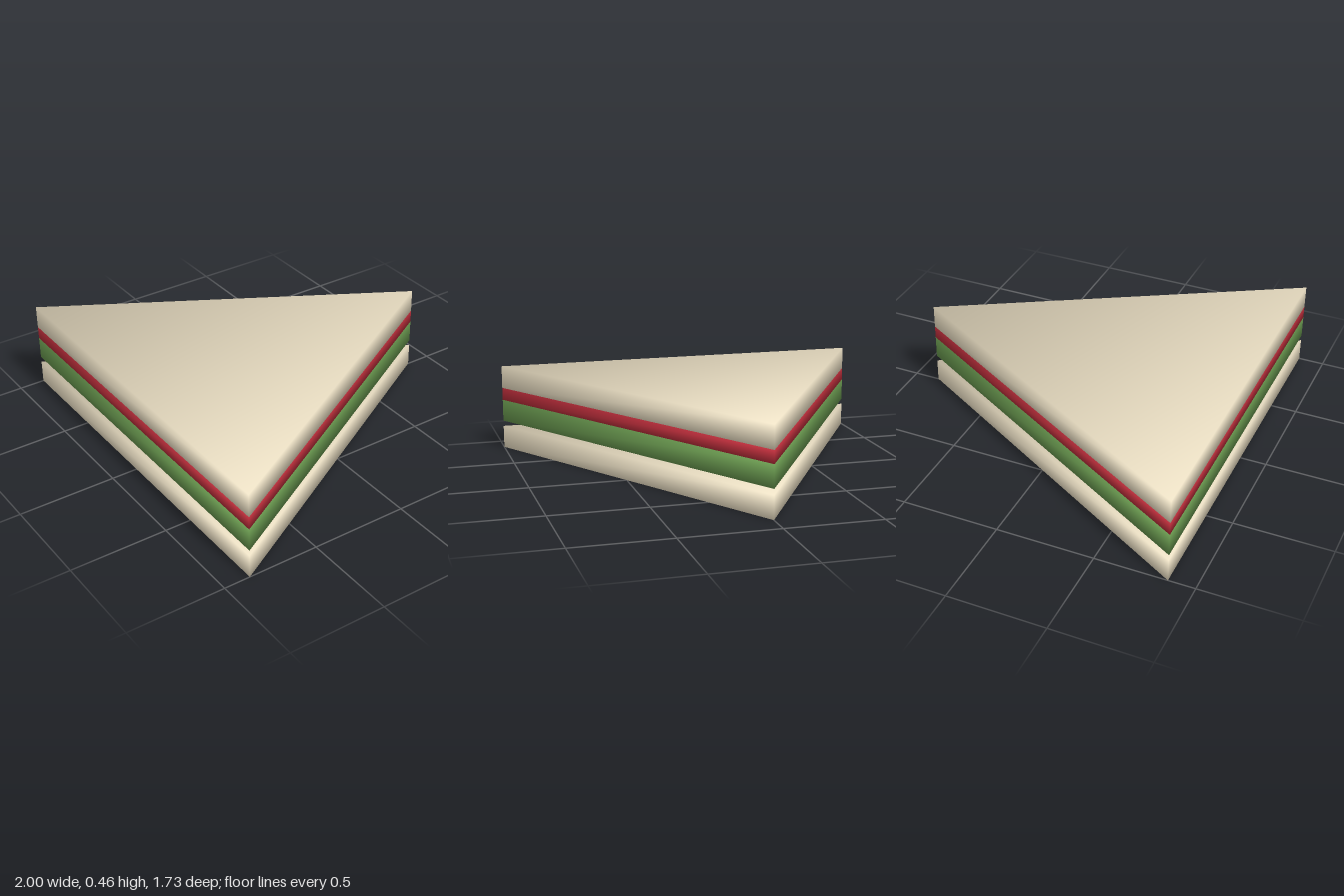
import * as THREE from 'three';

const HALF_DEPTH = 0.866;
const CORNERS = [[-1, HALF_DEPTH], [1, HALF_DEPTH], [0, -HALF_DEPTH]];
const CENTRE_Z = HALF_DEPTH / 3;

// Triangular slab whose shading runs smoothly over its edges
function slabGeometry(bottom, top) {
  const positions = [], normals = [];
  for (const [y, up] of [[bottom, -1], [top, 1]]) {
    for (const [x, z] of CORNERS) {
      positions.push(x, y, z);
      const outward = new THREE.Vector3(x, 0, z - CENTRE_Z).normalize();
      normals.push(...outward.setY(up).normalize().toArray());
    }
  }
  const index = [0, 2, 1, 3, 4, 5]; // underside, upper side
  for (let i = 0; i < 3; i++) {
    const j = (i + 1) % 3;
    index.push(i, j, j + 3, i, j + 3, i + 3);
  }
  const geometry = new THREE.BufferGeometry();
  geometry.setAttribute('position', new THREE.Float32BufferAttribute(positions, 3));
  geometry.setAttribute('normal', new THREE.Float32BufferAttribute(normals, 3));
  geometry.setIndex(index);
  return geometry;
}

export function createModel() {
  const bread = new THREE.MeshStandardMaterial({ color: 0xf0e4c8 });
  const lettuce = new THREE.MeshStandardMaterial({ color: 0x68974e });
  const tomato = new THREE.MeshStandardMaterial({ color: 0xba2d3a });

  // Layers from the bottom up, with a gap above the lower slice
  const layers = [
    ['bottomBread', 0, 0.12, bread],
    ['lettuce', 0.15, 0.268, lettuce],
    ['tomato', 0.268, 0.335, tomato],
    ['topBread', 0.335, 0.456, bread],
  ];

  const sandwich = new THREE.Group();
  sandwich.name = 'sandwich';
  for (const [name, bottom, top, material] of layers) {
    const mesh = new THREE.Mesh(slabGeometry(bottom, top), material);
    mesh.name = name;
    sandwich.add(mesh);
  }
  return sandwich;
}
